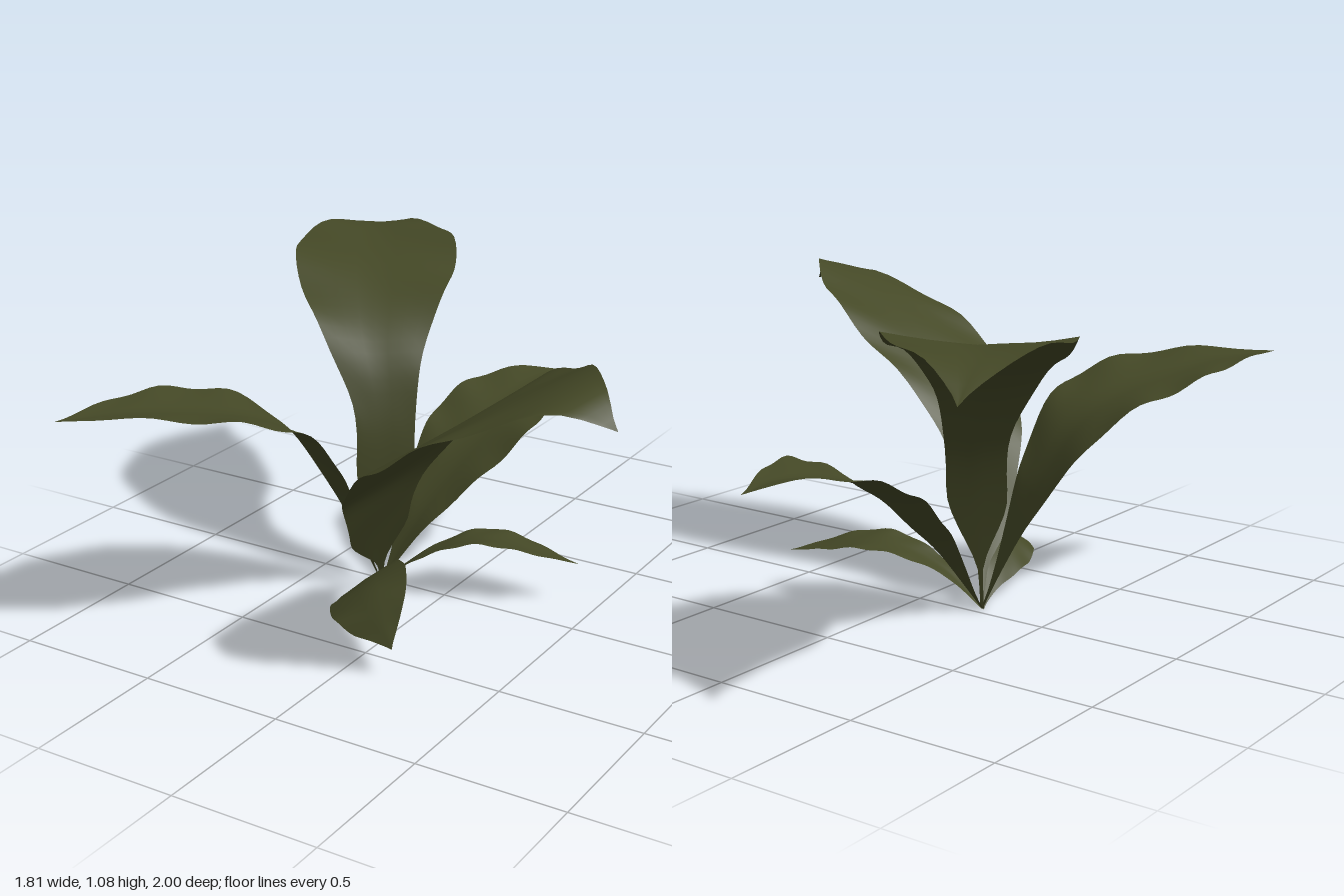
import * as THREE from 'three';

const ROWS = 40, COLS = 8;
const ROOT = [-0.24, 0.01, 0.03];

// Blade surface swept along a midrib that starts at the shared root.
// width: greatest half width, peak: where along the leaf it falls,
// neck: share of the width kept by the winged stalk, power: how sharply the blade swells,
// roll: sideways tilt, fold: how far the edges rise above the midrib.
function leafGeometry({ midrib, width, peak, neck = 0.05, power = 1.2, roll, fold }) {
  const points = [ROOT, ...midrib].map(p => new THREE.Vector3(...p));
  const curve = new THREE.CatmullRomCurve3(points);
  const root = points[0], tip = points[points.length - 1];
  const side = new THREE.Vector3(root.z - tip.z, 0, tip.x - root.x).normalize();
  const skew = Math.log(0.5) / Math.log(peak);
  const positions = [], index = [];
  for (let i = 0; i <= ROWS; i++) {
    const t = i / ROWS;
    const p = curve.getPointAt(t);
    // thin stem, winged stalk, swelling blade, pointed tip
    const blade = Math.max(0, Math.sin(Math.PI * t ** skew)) ** power;
    const stalk = neck * THREE.MathUtils.smoothstep(t, 0.06, 0.22) * (1 - t);
    const w = width * Math.cbrt(blade ** 3 + stalk ** 3) + 0.006 * (1 - t);
    for (let j = 0; j <= COLS; j++) {
      const u = (j / COLS) * 2 - 1;
      const ripple = 0.04 * w * Math.sin(t * 34 + u * 2) * u * u;
      const lift = w * (roll * u + fold * Math.abs(u)) + ripple;
      positions.push(p.x + side.x * w * u, p.y + lift, p.z + side.z * w * u);
    }
  }
  const stride = COLS + 1;
  for (let i = 0; i < ROWS; i++) {
    for (let j = 0; j < COLS; j++) {
      const a = i * stride + j, b = a + stride;
      index.push(a, a + 1, b, a + 1, b + 1, b);
    }
  }
  const geometry = new THREE.BufferGeometry();
  geometry.setAttribute('position', new THREE.Float32BufferAttribute(positions, 3));
  geometry.setIndex(index);
  geometry.computeVertexNormals();
  return geometry;
}

export function createModel() {
  const plant = new THREE.Group();
  plant.name = 'plant';
  const leafGreen = new THREE.MeshStandardMaterial({ color: 0x444826, side: THREE.DoubleSide });
  leafGreen.name = 'leafGreen';

  const addLeaf = (name, shape) => {
    const mesh = new THREE.Mesh(leafGeometry(shape), leafGreen);
    mesh.name = name;
    plant.add(mesh);
  };

  // Two tall arching leaves
  addLeaf('tallBackLeaf', {
    width: 0.29, peak: 0.68, neck: 0.42, power: 1.35, roll: 0, fold: 0.08,
    midrib: [[-0.275, 0.6, -0.06], [-0.37, 0.83, -0.15], [-0.57, 1.02, -0.47], [-0.78, 1.055, -0.82], [-0.87, 0.97, -1]],
  });
  addLeaf('tallLeftLeaf', {
    width: 0.295, peak: 0.64, neck: 0.45, roll: -0.28, fold: 0,
    midrib: [[-0.08, 0.4, 0.27], [0.02, 0.58, 0.35], [0.37, 0.88, 0.44], [0.76, 1.04, 0.54], [0.905, 0.975, 0.56]],
  });

  // Two middle leaves
  addLeaf('frontRightLeaf', {
    width: 0.24, peak: 0.6, roll: -0.04, fold: 0.1,
    midrib: [[-0.37, 0.46, 0.17], [-0.45, 0.67, 0.34], [-0.67, 0.8, 0.76], [-0.81, 0.815, 1]],
  });
  addLeaf('backLeaf', {
    width: 0.215, peak: 0.58, roll: 0, fold: 0.15,
    midrib: [[-0.16, 0.26, -0.12], [-0.07, 0.5, -0.4], [-0.025, 0.59, -0.74], [-0.005, 0.57, -0.9]],
  });

  // Two small low leaves
  addLeaf('smallSideLeaf', {
    width: 0.092, peak: 0.57, roll: 0.1, fold: 0.1,
    midrib: [[-0.09, 0.135, 0], [0.1, 0.21, -0.085], [0.425, 0.15, -0.19]],
  });
  addLeaf('smallFrontLeaf', {
    width: 0.12, peak: 0.62, roll: -0.7, fold: -0.08,
    midrib: [[-0.16, 0.13, 0.25], [-0.04, 0.2, 0.42], [0.16, 0.1, 0.59]],
  });
  return plant;
}
